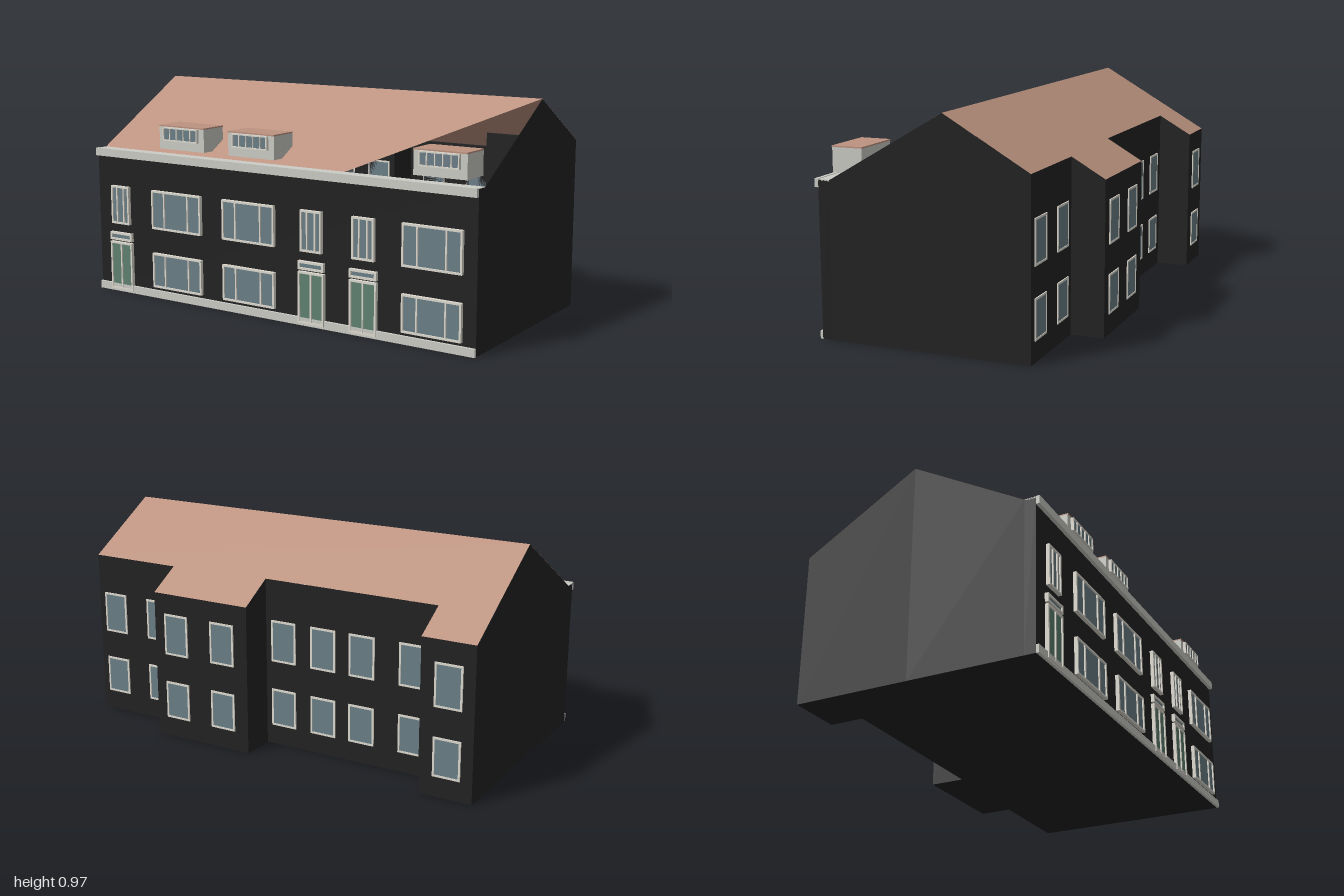
import * as THREE from 'three';

const mat = (name, color, double) => {
  const m = new THREE.MeshStandardMaterial({ color });
  m.name = name;
  if (double) m.side = THREE.DoubleSide;
  return m;
};

export function createModel() {
  const group = new THREE.Group();
  group.name = 'terraceHouses';
  const brick = mat('dark brick', 0x222222, true);
  const tile = mat('roof tile', 0xbd9380, true);
  const stone = mat('pale stone', 0xcdcdc7);
  const frame = mat('window frame', 0xdedad0);
  const glass = mat('glass', 0x6c7f88);
  const green = mat('door green', 0x5f8272);

  const add = (parent, name, geo, m) => {
    const mesh = new THREE.Mesh(geo, m);
    mesh.name = name;
    parent.add(mesh);
    return mesh;
  };
  const box = (parent, name, m, x0, x1, y0, y1, z0, z1) => {
    const mesh = add(parent, name, new THREE.BoxGeometry(x1 - x0, y1 - y0, Math.abs(z1 - z0)), m);
    mesh.position.set((x0 + x1) / 2, (y0 + y1) / 2, (z0 + z1) / 2);
  };

  // Roof height over any depth z
  const RIDGE = -0.03, EAVE = 0.48, FRONT = 0.53;
  const roofY = z => z < RIDGE ? 0.97 - (RIDGE - z) * 0.579
    : Math.max(0.672, 0.97 - (z - RIDGE) * (0.298 / (EAVE - RIDGE)));

  // Footprint with stepped rear, counter-clockwise seen from above
  const plan = [[-1, FRONT], [1, FRONT], [1, EAVE], [1, RIDGE], [1, -0.4], [0.56, -0.4], [0.56, -0.548],
    [0.07, -0.548], [0.07, -0.39], [-0.76, -0.39], [-0.76, -0.543], [-1, -0.543], [-1, RIDGE], [-1, EAVE]];

  // Walls follow the footprint and rise to the roof
  const pos = [];
  plan.forEach(([x, z], i) => {
    const [u, w] = plan[(i + 1) % plan.length];
    const a = [x, 0, z], b = [u, 0, w], c = [u, roofY(w), w], d = [x, roofY(z), z];
    pos.push(...a, ...b, ...c, ...a, ...c, ...d);
  });
  const wallGeo = new THREE.BufferGeometry();
  wallGeo.setAttribute('position', new THREE.Float32BufferAttribute(pos, 3));
  wallGeo.computeVertexNormals();
  add(group, 'walls', wallGeo, brick);

  // Flat outline in x,z, lifted by a height rule
  const sheet = (name, pts, m, height) => {
    const geo = new THREE.ShapeGeometry(new THREE.Shape(pts.map(([x, z]) => new THREE.Vector2(x, -z))));
    geo.rotateX(-Math.PI / 2);
    const p = geo.attributes.position;
    for (let i = 0; i < p.count; i++) p.setY(i, height(p.getZ(i)));
    geo.computeVertexNormals();
    add(group, name, geo, m);
  };
  sheet('floor', plan, brick, () => 0);
  sheet('rearRoof', [[-1, RIDGE], ...plan.slice(3, 12)].slice(0, 10), tile, z => roofY(z) + 0.001);
  // Front slope stops along a diagonal, leaving the right corner open
  sheet('frontRoof', [[-1, EAVE], [0.35, EAVE], [1, RIDGE], [-1, RIDGE]], tile, z => roofY(z) + 0.001);

  // Gutter, flat eave strip and plinth
  box(group, 'eaveStrip', stone, -1, 1, 0.668, 0.674, EAVE, FRONT);
  box(group, 'gutter', stone, -1, 1, 0.64, 0.676, FRONT, 0.547);
  box(group, 'plinth', stone, -1, 1, 0, 0.035, FRONT, 0.542);

  // Framed panel on a wall; dir is the way it faces, bars are fractions of its width
  const panel = (name, m, x0, x1, y0, y1, z, dir, bars = [], t = 0.009, depth = 0.016) => {
    const g = new THREE.Group();
    g.name = name;
    group.add(g);
    const zf = z + dir * depth;
    box(g, name + 'Pane', m, x0 + t, x1 - t, y0 + t, y1 - t, z, z + dir * depth * 0.6);
    box(g, 'frameSide', frame, x0, x0 + t, y0, y1, z, zf);
    box(g, 'frameSide', frame, x1 - t, x1, y0, y1, z, zf);
    box(g, 'frameSill', frame, x0 + t, x1 - t, y0, y0 + t, z, zf);
    box(g, 'frameHead', frame, x0 + t, x1 - t, y1 - t, y1, z, zf);
    for (const f of bars) {
      const x = x0 + (x1 - x0) * f;
      box(g, 'mullion', frame, x - t * 0.4, x + t * 0.4, y0 + t, y1 - t, z, zf);
    }
  };

  // Wide front windows on both floors
  for (const [x0, x1] of [[-0.665, -0.378], [-0.255, 0.028], [0.665, 0.94]]) {
    panel('upperWindow', glass, x0, x1, 0.325, 0.505, FRONT, 1, [0.26, 0.74]);
    panel('lowerWindow', glass, x0, x1, 0.05, 0.212, FRONT, 1, [0.26, 0.74]);
  }
  // Entrances: door, fanlight and narrow window above
  for (const x of [-0.86, 0.22, 0.48]) {
    panel('door', green, x - 0.066, x + 0.066, 0.01, 0.238, FRONT, 1, [0.5]);
    panel('fanlight', glass, x - 0.066, x + 0.066, 0.246, 0.284, FRONT, 1, [], 0.01);
    panel('narrowWindow', glass, x - 0.054, x + 0.054, 0.325, 0.505, FRONT, 1, [0.33, 0.7]);
  }

  // Rear windows, two floors: centre x and wall depth
  const rear = [[0.905, -0.4], [0.66, -0.4], [0.445, -0.548], [0.2, -0.548], [-0.02, -0.39],
    [-0.22, -0.39], [-0.41, -0.39], [-0.65, -0.39], [-0.885, -0.543]];
  for (const [x, z] of rear)
    for (const [y0, y1] of [[0.09, 0.262], [0.39, 0.58]])
      panel('rearWindow', glass, x - 0.062, x + 0.062, y0, y1, z, -1, [], 0.009, 0.005);

  // Box dormers
  for (const [x0, x1] of [[-0.643, -0.385], [-0.247, 0.002], [0.69, 0.933]]) {
    box(group, 'dormer', stone, x0, x1, 0.695, 0.798, 0.365, 0.5);
    box(group, 'dormerRoof', tile, x0, x1, 0.798, 0.804, 0.363, 0.502);
    panel('dormerWindow', glass, x0 + 0.03, x1 - 0.03, 0.735, 0.797, 0.5, 1, [0.2, 0.4, 0.6, 0.8], 0.006, 0.014);
  }
  return group;
}
